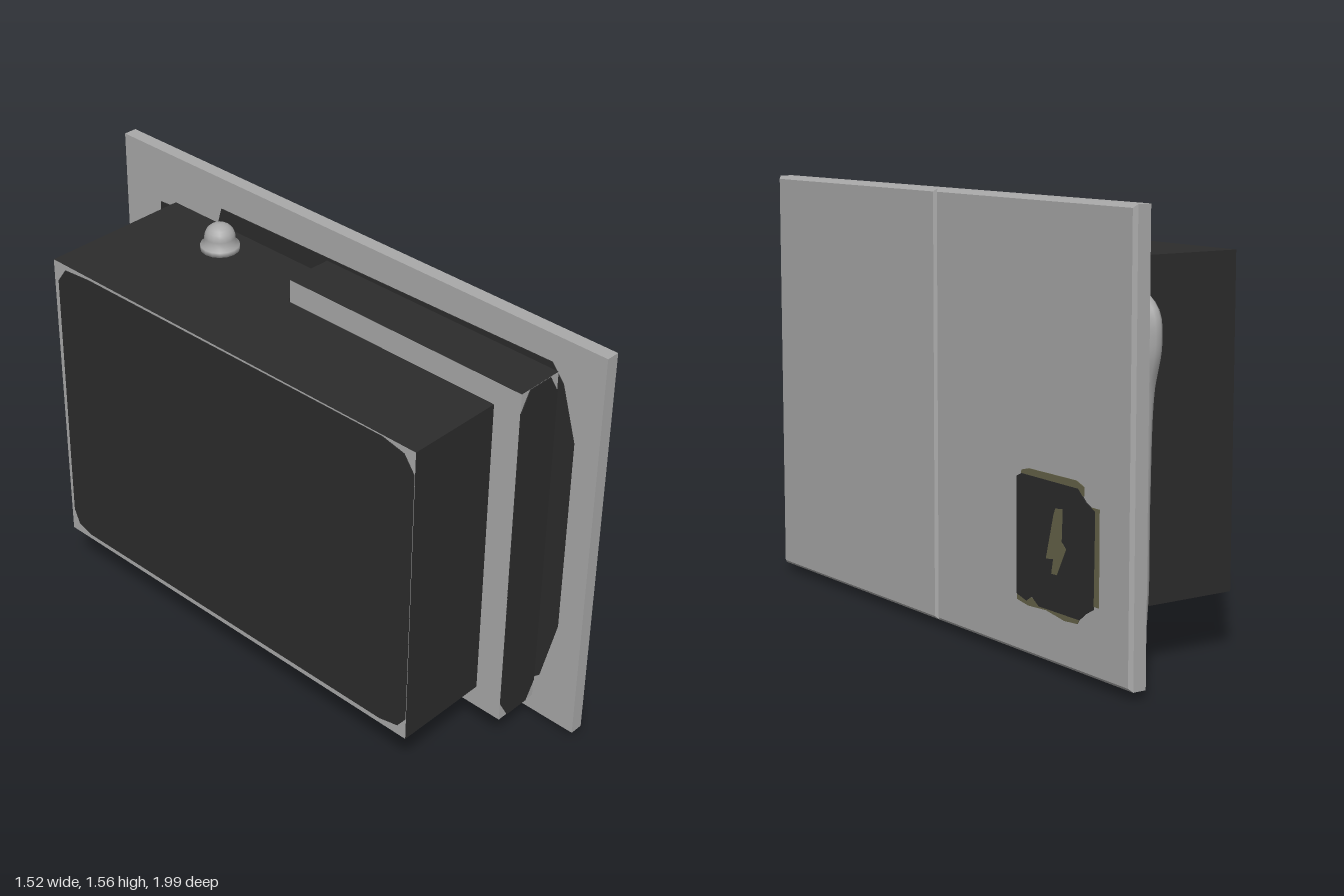
import * as THREE from 'three';

export function createModel() {
  const model = new THREE.Group();
  model.name = 'electricBox';
  // everything is built along the wall, then turned as one
  const unit = new THREE.Group();
  unit.name = 'wallUnit';
  unit.rotation.y = -Math.PI / 3;
  model.add(unit);

  const material = (name, color) => {
    const m = new THREE.MeshStandardMaterial({ color });
    m.name = name;
    return m;
  };
  const grey = material('panelGrey', 0xa9a9a9);
  const dark = material('charcoal', 0x2c2c2c);
  const olive = material('olive', 0x66644a);

  const add = (name, geometry, mat) => {
    const mesh = new THREE.Mesh(geometry, mat);
    mesh.name = name;
    unit.add(mesh);
    return mesh;
  };
  // box given by its limits on each axis
  const box = (name, x0, x1, y0, y1, z0, z1, mat) => {
    const mesh = add(name, new THREE.BoxGeometry(x1 - x0, y1 - y0, z1 - z0), mat);
    mesh.position.set((x0 + x1) / 2, (y0 + y1) / 2, (z0 + z1) / 2);
    return mesh;
  };
  // thin flat plate from an outline
  const plate = (name, points, z, mat) => {
    const shape = new THREE.Shape(points.map(([x, y]) => new THREE.Vector2(x, y)));
    const g = new THREE.ExtrudeGeometry(shape, { depth: 0.004, bevelEnabled: false });
    const mesh = add(name, g, mat);
    mesh.position.z = z;
    return mesh;
  };
  // rectangle outline with cut corners
  const cut = (x0, x1, y0, y1, cx, cy) => [
    [x0 + cx, y0], [x1 - cx, y0], [x1, y0 + cy], [x1, y1 - cy],
    [x1 - cx, y1], [x0 + cx, y1], [x0, y1 - cy], [x0, y0 + cy],
  ];

  // two wall panels, chamfered on the outer face
  const w = 1.1, h = 1.53, d = 0.062, c = 0.012;
  for (const side of [-1, 1]) {
    const g = new THREE.BoxGeometry(w, h, d, 1, 1, 2).toNonIndexed();
    const p = g.attributes.position;
    for (let i = 0; i < p.count; i++) {
      const z = p.getZ(i);
      if (z < -0.01) {
        p.setX(i, p.getX(i) - Math.sign(p.getX(i)) * c);
        p.setY(i, p.getY(i) - Math.sign(p.getY(i)) * c);
      } else if (z < 0.01) p.setZ(i, -d / 2 + c);
    }
    g.computeVertexNormals();
    const mesh = add(side < 0 ? 'wallPanelFar' : 'wallPanelNear', g, grey);
    mesh.position.set(0.057 + side * w / 2, 0.795, -0.179);
  }

  // dark backing on the wall around the boxes
  plate('wallBacking', [
    [-0.88, 0.22], [-0.86, 0.16], [-0.4, 0.14], [0.93, 0.14], [1.0, 0.2], [1.06, 0.45],
    [1.06, 1.2], [1.0, 1.4], [0.95, 1.46], [-0.54, 1.44], [-0.56, 1.37], [-0.86, 1.35],
  ], -0.149, dark);

  // main cabinet with a pale front border
  box('cabinet', -0.781, 0.895, 0.215, 1.375, -0.15, 0.43, [dark, dark, dark, dark, grey, dark]);
  plate('cabinetDoor', [
    [-0.68, 0.235], [0.78, 0.237], [0.86, 0.255], [0.893, 0.3], [0.893, 1.29], [0.85, 1.35],
    [0.76, 1.37], [-0.6, 1.365], [-0.72, 1.355], [-0.76, 1.3], [-0.765, 0.31], [-0.74, 0.255],
  ], 0.4285, dark);

  // second, taller box with pale front and cut dark end plates
  box('sideBox', 0.006, 1, 0.13, 1.46, -0.115, 0.065, [grey, grey, dark, dark, grey, dark]);
  for (const x of [0.003, 0.999]) {
    const end = plate('sideBoxEnd', cut(-0.065, 0.115, 0.131, 1.459, 0.04, 0.07), 0, dark);
    end.rotation.y = Math.PI / 2;
    end.position.x = x;
  }

  // domed fitting on top of the cabinet
  const profile = [[0, 0], [0.07, 0], [0.07, 0.02], [0.055, 0.025], [0.055, 0.05]];
  for (let i = 1; i <= 6; i++) {
    const a = i / 6 * Math.PI / 2;
    profile.push([0.055 * Math.cos(a), 0.05 + 0.05 * Math.sin(a)]);
  }
  const dome = add('topFitting', new THREE.LatheGeometry(
    profile.map(([r, y]) => new THREE.Vector2(Math.max(r, 0), y)), 16), grey);
  dome.position.set(-0.424, 1.373, -0.026);

  // conduits, both looping into the underside of the cabinet
  const tube = (name, points, r, mat) => {
    const curve = new THREE.CatmullRomCurve3(points.map(([x, y]) => new THREE.Vector3(x, y, -0.035)));
    add(name, new THREE.TubeGeometry(curve, 64, r, 10), mat);
  };
  tube('sideConduit', [
    [-0.75, 1.26], [-0.84, 1.25], [-0.905, 1.2], [-0.915, 1.1], [-0.88, 0.95], [-0.865, 0.6],
    [-0.86, 0.25], [-0.84, 0.15], [-0.75, 0.112], [-0.66, 0.15], [-0.63, 0.25],
  ], 0.033, grey);
  const loop = [[-0.47, 0.26]];
  for (let i = 0; i <= 8; i++) {
    const a = Math.PI + i / 8 * Math.PI;
    loop.push([-0.295 + 0.175 * Math.cos(a), 0.2 + 0.167 * Math.sin(a)]);
  }
  loop.push([-0.12, 0.26]);
  tube('bottomConduit', loop, 0.032, olive);

  // warning sign on the outer face
  plate('signTop', [[-0.45, 0.62], [-0.8, 0.62], [-0.8, 0.65], [-0.76, 0.665], [-0.5, 0.665], [-0.46, 0.655]], -0.2125, olive);
  plate('signSide', [[-0.84, 0.27], [-0.88, 0.27], [-0.88, 0.59], [-0.84, 0.59]], -0.2125, olive);
  plate('signBottom', [[-0.435, 0.23], [-0.435, 0.21], [-0.5, 0.2], [-0.6, 0.205], [-0.7, 0.19], [-0.77, 0.195], [-0.79, 0.23]], -0.2125, olive);
  plate('signFace', [
    [-0.433, 0.63], [-0.433, 0.23], [-0.49, 0.215], [-0.52, 0.235], [-0.56, 0.21], [-0.78, 0.21],
    [-0.81, 0.235], [-0.855, 0.26], [-0.86, 0.58], [-0.815, 0.6], [-0.77, 0.64], [-0.46, 0.643],
  ], -0.2135, dark);
  plate('lightningBolt', [
    [-0.65, 0.555], [-0.69, 0.56], [-0.685, 0.45], [-0.71, 0.43], [-0.66, 0.335],
    [-0.63, 0.335], [-0.64, 0.385], [-0.6, 0.38], [-0.64, 0.53],
  ], -0.2145, olive);

  return model;
}
